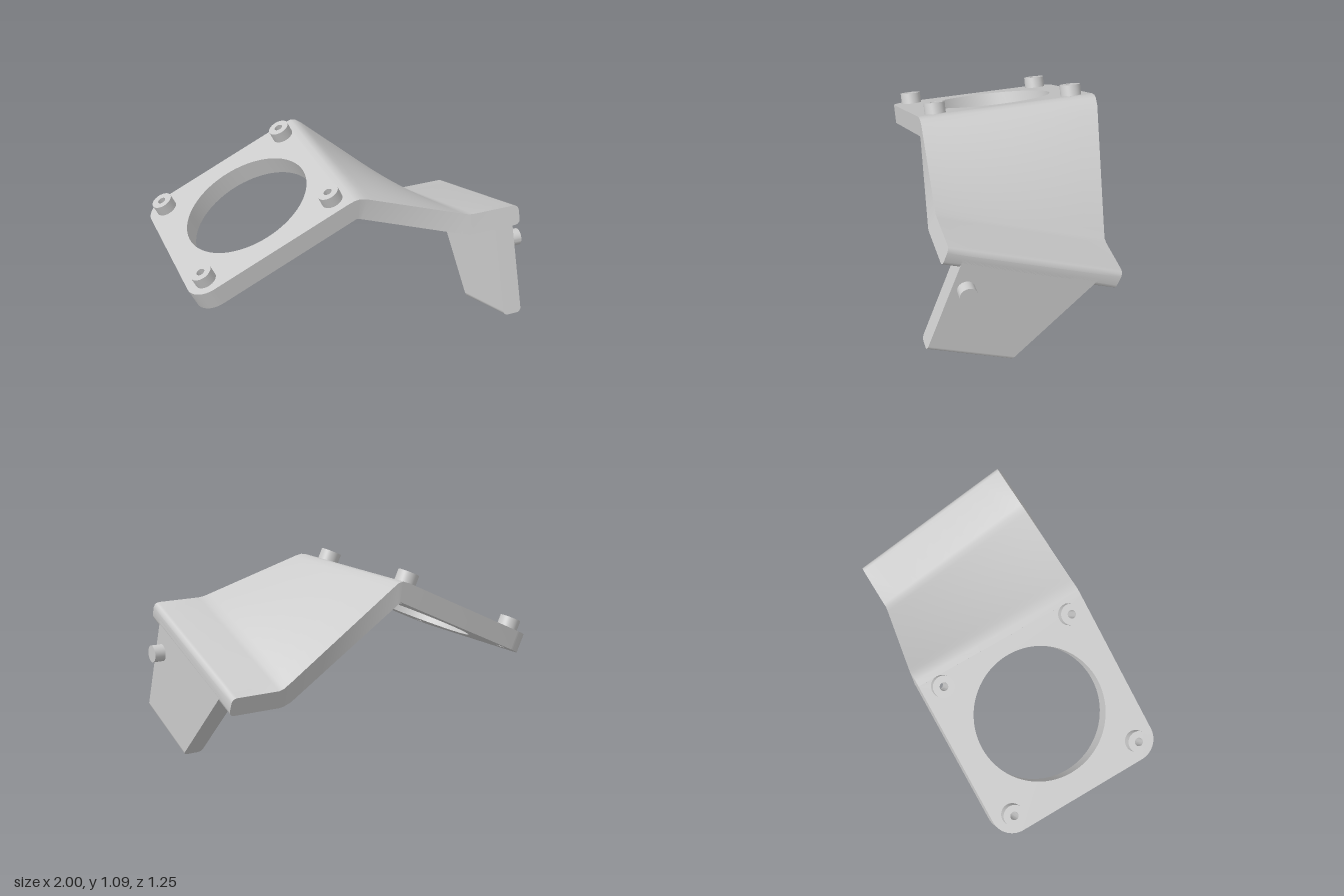
import * as THREE from 'three';
import { toCreasedNormals } from 'three/addons/utils/BufferGeometryUtils.js';

const grey = new THREE.MeshStandardMaterial({ color: 0xcccccc });

function part(name, geometry, crease = 0.6) {
  const mesh = new THREE.Mesh(toCreasedNormals(geometry, crease), grey);
  mesh.name = name;
  return mesh;
}

// Solid through four-cornered sections that advance in +x.
// Each section: [topFront, topBack, bottomFront, bottomBack] as Vector3.
function loft(sections, n = 8) {
  const pos = [], index = [], ring = 2 * n + 2;
  for (const [tf, tb, bf, bb] of sections) {
    for (let j = 0; j <= n; j++) pos.push(...tf.clone().lerp(tb, j / n));
    for (let j = 0; j <= n; j++) pos.push(...bb.clone().lerp(bf, j / n));
  }
  for (let i = 0; i < sections.length - 1; i++) {
    for (let j = 0; j < ring; j++) {
      const a = i * ring + j, b = i * ring + (j + 1) % ring;
      index.push(a, a + ring, b + ring, a, b + ring, b);
    }
  }
  const e = (sections.length - 1) * ring;
  index.push(0, n, n + 1, 0, n + 1, 2 * n + 1);
  index.push(e, e + 2 * n + 1, e + n + 1, e, e + n + 1, e + n);
  const g = new THREE.BufferGeometry();
  g.setAttribute('position', new THREE.Float32BufferAttribute(pos, 3));
  g.setIndex(index);
  return g;
}

function addHole(shape, x, y, r) {
  shape.holes.push(new THREE.Path().absarc(x, y, r, 0, Math.PI * 2, true));
}

// Sloping square plate with a large round opening and four hollow bosses
function mountPlate() {
  const T = 0.115, R = 0.13, v0 = -0.43, v1 = 0.625, cu = 0.526, cv = 0.0975, off = 0.4125;
  const group = new THREE.Group();
  group.name = 'mountPlate';
  const s = new THREE.Shape();
  s.moveTo(1, v0);
  s.lineTo(1, v1);
  s.lineTo(R, v1);
  s.absarc(R, v1 - R, R, Math.PI / 2, Math.PI, false);
  s.absarc(R, v0 + R, R, Math.PI, Math.PI * 1.5, false);
  s.closePath();
  addHole(s, cu, cv, 0.3825);
  const profile = [[0.062, T], [0.062, T + 0.065], [0.024, T + 0.065], [0.024, T - 0.01]]
    .map(p => new THREE.Vector2(...p));
  for (const a of [-1, 1]) {
    for (const b of [-1, 1]) {
      const u = cu + a * off, v = cv + b * off;
      addHole(s, u, v, 0.024);
      const boss = new THREE.LatheGeometry(profile, 32);
      boss.rotateX(Math.PI / 2).translate(u, v, 0);
      group.add(part('boss', boss));
    }
  }
  group.add(part('plate', new THREE.ExtrudeGeometry(s, { depth: T, bevelEnabled: false, curveSegments: 40 })));
  const t = THREE.MathUtils.degToRad(25);
  const d = new THREE.Vector3(Math.cos(t), Math.sin(t), 0);
  const n = new THREE.Vector3(-Math.sin(t), Math.cos(t), 0);
  const m = new THREE.Matrix4().makeBasis(d, new THREE.Vector3(0, 0, -1), n);
  m.setPosition(new THREE.Vector3(-1, 0.615, 0).addScaledVector(n, -T));
  group.applyMatrix4(m);
  return group;
}

// Twisted web from the bend down to the tilted shelf
function twistedArm() {
  // top x, front y, back y, bottom x, front y, back y, twist 0..1, end rounding
  const rows = [
    [-0.094, 1.037, 1.037, -0.045, 0.933, 0.933, 0, 0],
    [-0.06, 1.05, 1.048, -0.04, 0.931, 0.931, 0, 0],
    [-0.03, 1.054, 1.043, -0.033, 0.929, 0.926, 0, 0],
    [0.01, 1.046, 1.015, -0.02, 0.925, 0.915, 0.02, 0],
  ];
  const from = rows[3], to = [0.58, 0.858, 0.535, 0.56, 0.748, 0.412, 0.94, 0];
  for (let i = 1; i <= 14; i++) rows.push(from.map((v, k) => v + (to[k] - v) * i / 14));
  rows.push([0.62, 0.846, 0.504, 0.6, 0.738, 0.39, 1, 0]);
  const shelf = [0.843, 0.495, 0.735, 0.386];
  for (const [xt, xb, e] of [[0.65, 0.63, 0], [0.905, 0.905, 0], [0.92, 0.92, 0.004],
    [0.931, 0.931, 0.015], [0.935, 0.935, 0.03]])
    rows.push([xt, shelf[0], shelf[1], xb, shelf[2], shelf[3], 1, e]);
  const mix = THREE.MathUtils.lerp;
  const V = (x, y, z, e) => new THREE.Vector3(x, y - 0.94 * e, z + 0.342 * e);
  return part('twistedArm', loft(rows.map(([xt, yf, yb, xb, bf, bb, t, e]) => [
    V(xt, yf, mix(0.43, 0.488, t), e), V(xt, yb, mix(-0.625, -0.485, t), e),
    V(xb, bf, mix(0.43, 0.527, t), -e), V(xb, bb, mix(-0.625, -0.443, t), -e),
  ])));
}

// Upright plate under the shelf with two counterbored holes and a peg
function sidePlate() {
  const group = new THREE.Group();
  group.name = 'sidePlate';
  const x0 = 0.82, xm = 0.87, x1 = 0.935, r = 0.028;
  const front = h => [0.625 - 0.342 * h, 0.178 + 0.94 * h];
  const back = h => [0.15 - 0.812 * h, 0.003 + 0.768 * h];
  const layer = (a, b, hole) => {
    const pts = [front(r), [0.416, 0.752], [-0.345, 0.473], back(r)];
    const s = new THREE.Shape(pts.map(([z, y]) => new THREE.Vector2(-z, y)));
    addHole(s, -0.4, 0.24, hole);
    addHole(s, -0.175, 0.155, hole);
    const g = new THREE.ExtrudeGeometry(s, { depth: b - a, bevelEnabled: false, curveSegments: 24 });
    return g.rotateY(Math.PI / 2).translate(a, 0, 0);
  };
  group.add(part('innerLayer', layer(x0, xm, 0.075)));
  group.add(part('outerLayer', layer(xm, x1, 0.05)));

  // rounded lower edge
  const strip = [];
  const P = (x, [z, y]) => new THREE.Vector3(x, y, z);
  const section = (x, h) => strip.push([P(x, front(r)), P(x, back(r)), P(x, front(h)), P(x, back(h))]);
  const N = 6;
  for (let i = 0; i <= N; i++) {
    const a = i / N * Math.PI / 2;
    section(x0 + r * (1 - Math.cos(a)), 0.96 * r * (1 - Math.sin(a)));
  }
  for (let i = N; i >= 0; i--) {
    const a = i / N * Math.PI / 2;
    section(x1 - r * (1 - Math.cos(a)), 0.96 * r * (1 - Math.sin(a)));
  }
  group.add(part('lowerEdge', loft(strip, 1)));

  const peg = new THREE.CylinderGeometry(0.05, 0.05, 0.11, 32);
  peg.rotateZ(Math.PI / 2).translate(0.945, 0.56, 0.4);
  group.add(part('peg', peg));
  return group;
}

export function createModel() {
  const model = new THREE.Group();
  model.name = 'bracket';
  model.add(mountPlate(), twistedArm(), sidePlate());
  return model;
}
